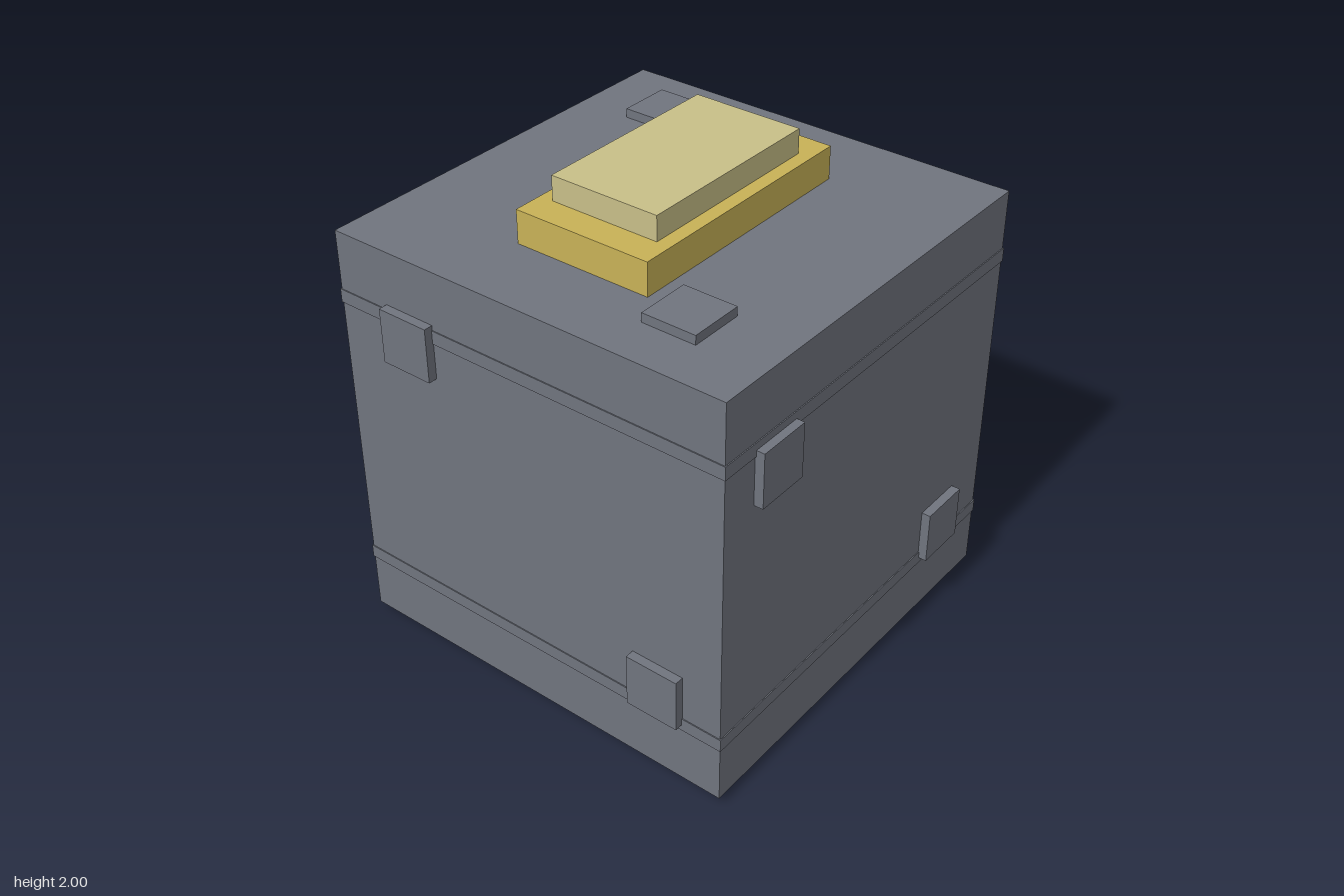
import * as THREE from 'three';

export function createModel() {
  const model = new THREE.Group();
  model.name = 'cubeWithButton';
  const mat = (name, color) => {
    const m = new THREE.MeshStandardMaterial({ color });
    m.name = name;
    return m;
  };
  const grey = mat('slate grey', 0x70747e);
  const gold = mat('gold', 0xc8b257);
  const pale = mat('pale gold', 0xc8bf88);

  const box = (name, material, size, pos) => {
    const mesh = new THREE.Mesh(new THREE.BoxGeometry(...size), material);
    mesh.name = name;
    mesh.position.set(...pos);
    model.add(mesh);
  };

  const half = 0.862, midY = 0.903, pad = 0.223;

  // Main cube
  box('body', grey, [half * 2, half * 2, half * 2], [0, midY, 0]);

  // Thin raised bands round the cube
  for (const y of [0.308, 1.497]) {
    box('band', grey, [half * 2 + 0.008, 0.055, half * 2 + 0.008], [0, y, 0]);
  }

  // Stepped button on top
  box('buttonBase', gold, [1.068, 0.135, 0.58], [0, 1.8325, 0]);
  box('buttonTop', pale, [0.822, 0.1, 0.464], [0, 1.95, 0]);

  // Square pads, two per face: axis index, side, then the centres
  const t = 0.037, out = half + t / 2;
  const faces = [
    ['frontPad', 2, 1, [[-0.59, 1.383], [0.55, 0.418]]],
    ['backPad', 2, -1, [[0.62, 1.418], [-0.69, 0.315]]],
    ['leftPad', 0, 1, [[1.383, 0.555], [0.383, -0.585]]],
    ['rightPad', 0, -1, [[1.433, -0.52], [0.418, 0.583]]],
    ['topPad', 1, 1, [[-0.555, 0.482], [0.583, -0.518]]],
    ['bottomPad', 1, -1, [[0.55, 0.54], [-0.59, -0.482]]],
  ];
  for (const [name, axis, side, centres] of faces) {
    for (const centre of centres) {
      const size = [pad, pad, pad];
      const pos = [...centre];
      size[axis] = t;
      pos.splice(axis, 0, side * out + (axis === 1 ? midY : 0));
      box(name, grey, size, pos);
    }
  }
  return model;
}
